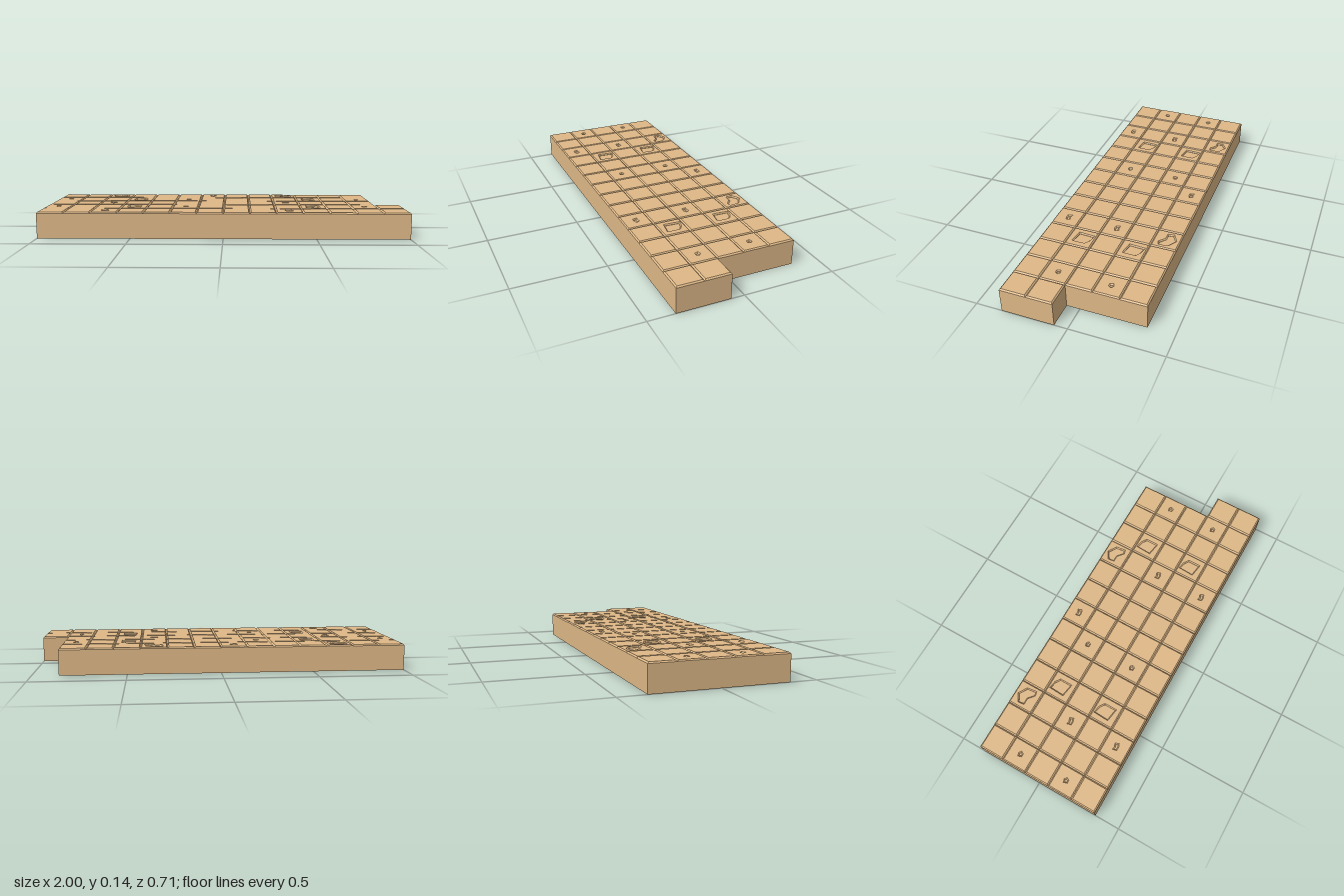
import * as THREE from 'three';

const PITCH = 1 / 7, BEVEL = 0.007, SLAB = 0.136, ROWS = 5, COLS = 14;

// Chip outlines as [x, z] offsets from the tile centre
const CHIPS = {
  jagged: [[-0.043, -0.022], [-0.004, -0.045], [0.039, -0.018], [0.045, 0.031], [0.028, 0.035], [-0.006, 0.006], [-0.04, 0.006]],
  broad: [[-0.031, -0.053], [0.004, -0.045], [0.03, -0.027], [0.03, 0.037], [-0.035, 0.026]],
  notch: [[-0.016, -0.008], [-0.004, -0.003], [0.012, -0.009], [0.016, 0.002], [0.002, 0.007], [-0.012, 0.006]],
  pit: [[-0.008, -0.005], [0.002, -0.008], [0.009, -0.002], [0.005, 0.006], [-0.005, 0.006]],
};

// Which tiles carry which chip, keyed as "column,row"
const CHIPPED = { '6,0': 'notch' };
for (const c of [2, 9]) {
  CHIPPED[`${c},0`] = 'jagged';
  CHIPPED[`${c},2`] = CHIPPED[`${c},4`] = 'notch';
  CHIPPED[`${c + 1},1`] = CHIPPED[`${c + 1},3`] = 'broad';
}
for (const c of [0, 5, 12]) CHIPPED[`${c},1`] = CHIPPED[`${c},3`] = 'pit';

const points = (list) => list.map(([x, z]) => new THREE.Vector2(x, -z));

// Bevelled tile; its lower half sinks into the slab
function tileGeometry(chip) {
  const h = PITCH / 2;
  const shape = new THREE.Shape(points([[-h, h], [h, h], [h, -h], [-h, -h]]));
  if (chip) shape.holes.push(new THREE.Path(points(CHIPS[chip])));
  const b = chip ? 0.006 : BEVEL;
  return new THREE.ExtrudeGeometry(shape, {
    depth: BEVEL - b + 0.0005, bevelEnabled: true, bevelSegments: 1,
    bevelThickness: b, bevelSize: b, bevelOffset: -b,
  }).rotateX(-Math.PI / 2);
}

export function createModel() {
  const model = new THREE.Group();
  model.name = 'tiledFloor';
  const material = new THREE.MeshStandardMaterial({ color: 0xdeb887 });

  // Solid slab with a stepped back corner
  const w = 1, d = 2.5 * PITCH, sx = 1 - PITCH, sz = PITCH / 2;
  const outline = new THREE.Shape(points([[-w, d], [w, d], [w, sz], [sx, sz], [sx, -d], [-w, -d]]));
  const slab = new THREE.Mesh(
    new THREE.ExtrudeGeometry(outline, { depth: SLAB, bevelEnabled: false }).rotateX(-Math.PI / 2), material);
  slab.name = 'slab';
  model.add(slab);

  // Rows of tiles; the last column only reaches the two front rows
  const tiles = new THREE.Group();
  tiles.name = 'tiles';
  const plain = tileGeometry();
  const chipped = Object.fromEntries(Object.keys(CHIPS).map((k) => [k, tileGeometry(k)]));
  for (let r = 0; r < ROWS; r++) {
    for (let c = 0; c < (r < 3 ? COLS - 1 : COLS); c++) {
      const chip = CHIPPED[`${c},${r}`];
      const tile = new THREE.Mesh(chip ? chipped[chip] : plain, material);
      tile.name = chip ? 'chippedTile' : 'tile';
      tile.position.set(-1 + (c + 0.5) * PITCH, SLAB, -d + (r + 0.5) * PITCH);
      tiles.add(tile);
    }
  }
  model.add(tiles);
  return model;
}
